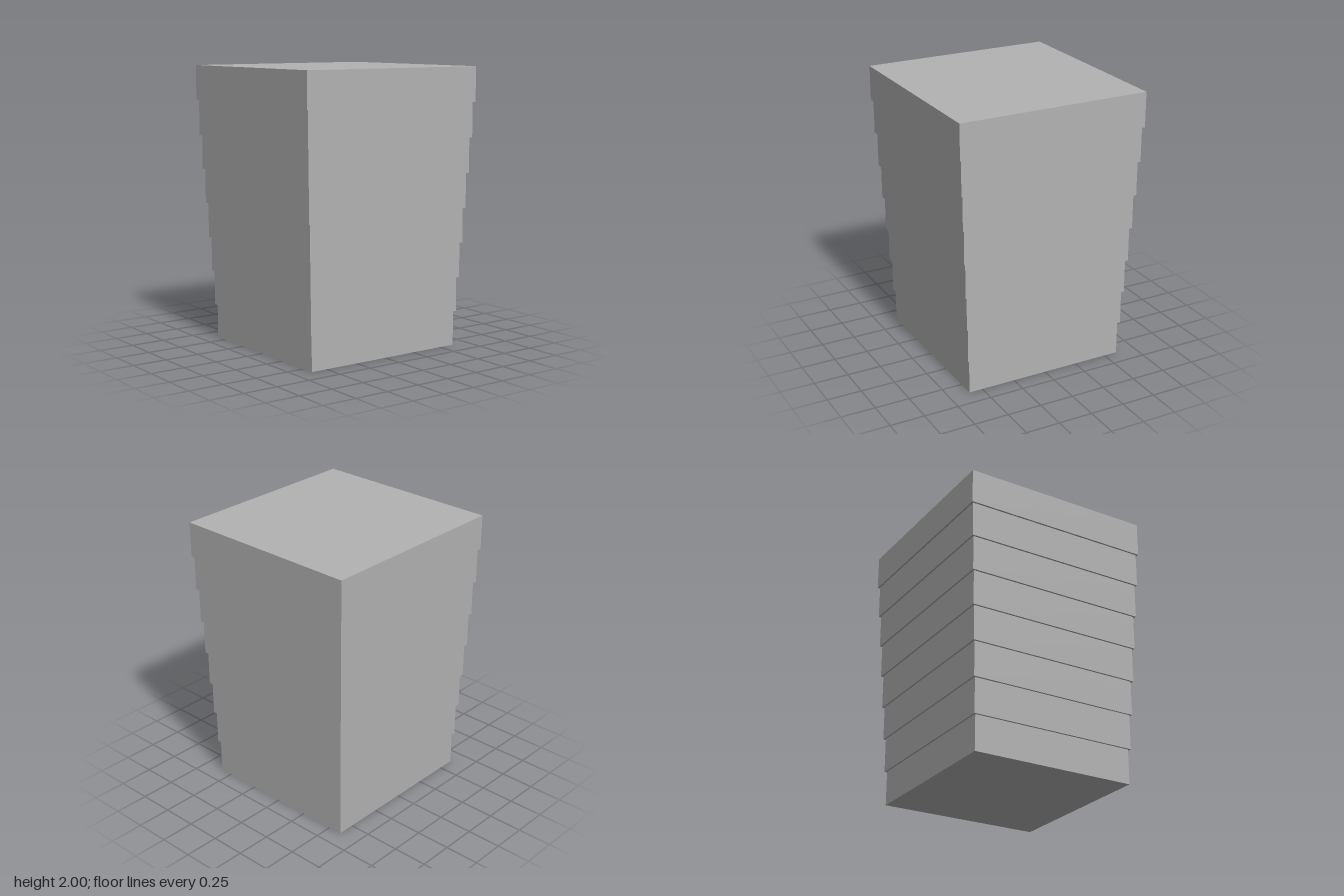
import * as THREE from 'three';

export function createModel() {
  const model = new THREE.Group();
  model.name = 'steppedTower';
  const grey = new THREE.MeshStandardMaterial({ color: 0xb2b2b2 });
  grey.name = 'grey';

  // Eight equal storeys, each slightly wider than the one below
  const count = 8;
  const height = 2 / count;
  for (let i = 0; i < count; i++) {
    const t = i / (count - 1);
    const width = THREE.MathUtils.lerp(1.2, 1.392, t);
    const depth = THREE.MathUtils.lerp(1.245, 1.442, t);
    const storey = new THREE.Mesh(new THREE.BoxGeometry(width, height, depth), grey);
    storey.name = `storey${i + 1}`;
    storey.position.y = (i + 0.5) * height;
    model.add(storey);
  }
  return model;
}
